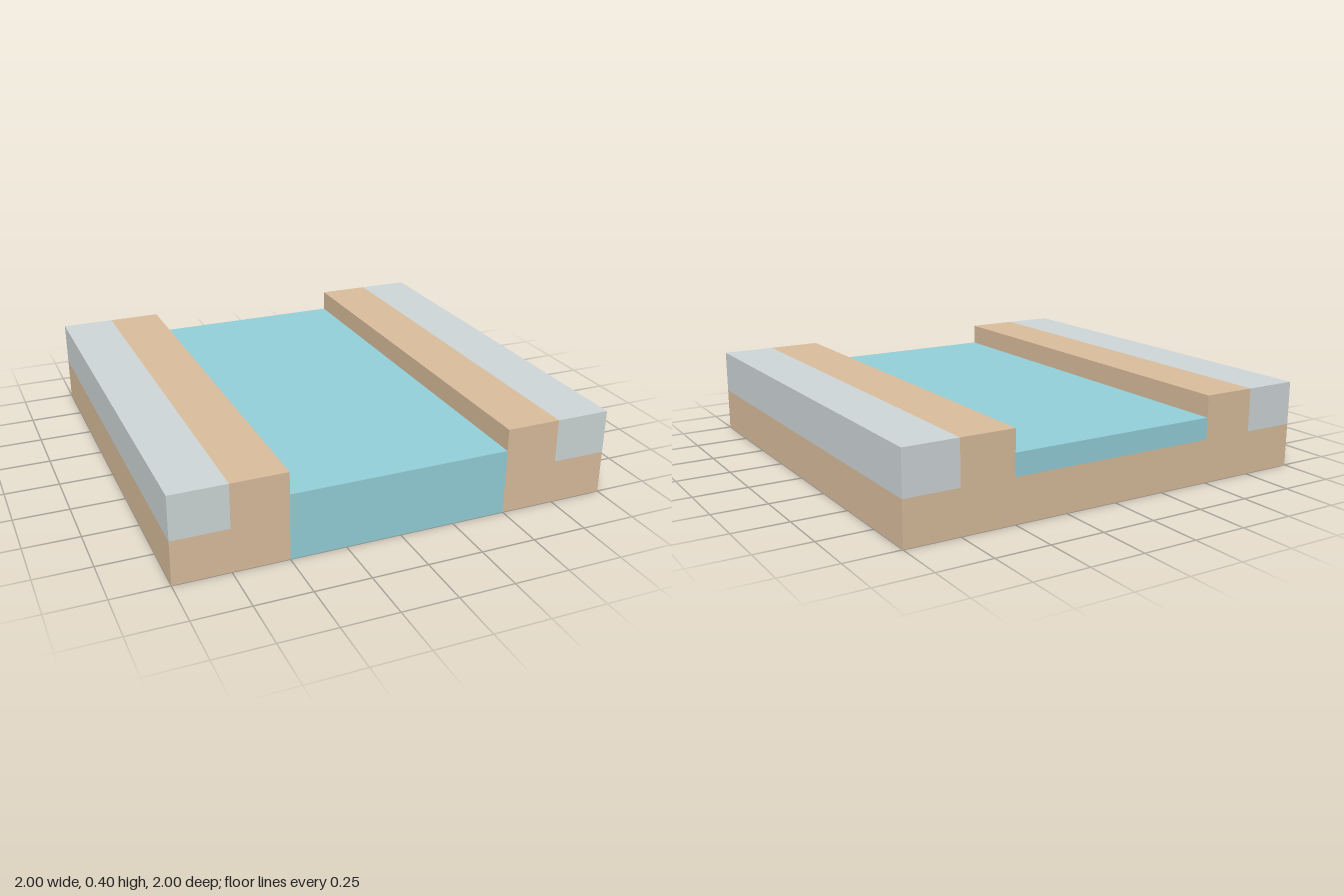
import * as THREE from 'three';

const paint = (color) => new THREE.MeshStandardMaterial({ color });

export function createModel() {
  const model = new THREE.Group();
  model.name = 'riverTile';
  const earth = paint(0xdcbf9e);
  const stone = paint(0xd1d9da);
  const water = paint(0x95d2db);
  const length = 2;

  const add = (name, geometry, material, x = 0, y = 0, z = 0) => {
    const mesh = new THREE.Mesh(geometry, material);
    mesh.name = name;
    mesh.position.set(x, y, z);
    model.add(mesh);
  };

  // River bed; its front face carries the falling water
  add('riverBed', new THREE.BoxGeometry(1, 0.2, length),
    [earth, earth, earth, earth, water, earth], 0, 0.1, 0);

  // Water filling the channel
  add('water', new THREE.BoxGeometry(1, 0.1, length), water, 0, 0.25, 0);

  // Stepped earth banks with a paved strip on the outer ledge
  for (const [side, s] of [['left', 1], ['right', -1]]) {
    const profile = new THREE.Shape(
      [[0.5, 0], [1, 0], [1, 0.2], [0.75, 0.2], [0.75, 0.4], [0.5, 0.4]]
        .map(([x, y]) => new THREE.Vector2(s * x, y)));
    add(side + 'Bank',
      new THREE.ExtrudeGeometry(profile, { depth: length, bevelEnabled: false }),
      earth, 0, 0, -length / 2);
    add(side + 'Pavement', new THREE.BoxGeometry(0.25, 0.2, length), stone, s * 0.875, 0.3, 0);
  }

  return model;
}
